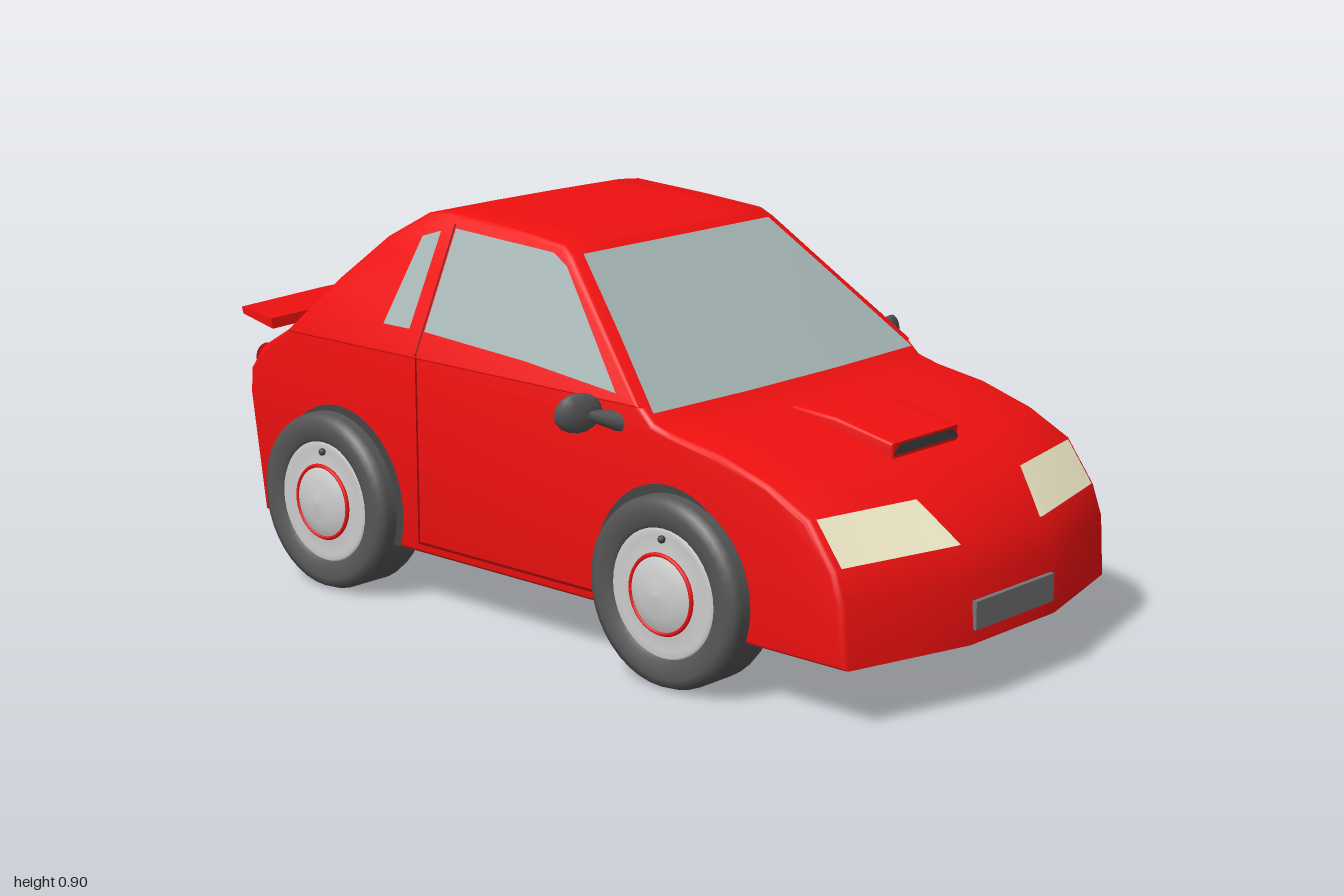
import * as THREE from 'three';
import { toCreasedNormals } from 'three/addons/utils/BufferGeometryUtils.js';

const mat = (color, side = THREE.DoubleSide) => {
  const m = new THREE.MeshStandardMaterial({ side });
  m.color.set(color);
  return m;
};
const red = mat(0xf01010), seam = mat(0x8c0808), glass = mat(0xa6b5b5), lamp = mat(0xf5f0cc);
const rubber = mat(0x565656), dark = mat(0x444444), metal = mat(0xbdbdbd), plate = mat(0x747474);
const amber = mat(0xf0c010), tail = mat(0xa80c0c);

const HALF = 0.46;

// Nose and tail sweep back towards the corners
function bow(x, z) {
  const f = Math.max(0, (Math.abs(x) - 0.149) / (HALF - 0.149));
  return z - (z > 0 ? 0.085 : 0.04) * f * z * Math.abs(z);
}

// Apply the sweep, and lean the cabin sides inwards
function warp(geo, lean) {
  const p = geo.attributes.position;
  for (let i = 0; i < p.count; i++) {
    const x = p.getX(i), y = p.getY(i);
    const scale = lean ? 1 - (0.13 / HALF) * (y - 0.6) / 0.28 : 1;
    p.setXYZ(i, x * scale, y, bow(x, p.getZ(i)));
  }
  geo.computeVertexNormals();
  return geo;
}

function shapeOf(pts) {
  return new THREE.Shape(pts.map(([z, y]) => new THREE.Vector2(z, y)));
}

export function createModel() {
  const car = new THREE.Group();
  car.name = 'car';

  function add(name, geo, material, parent = car) {
    const mesh = new THREE.Mesh(geo, material);
    mesh.name = name;
    parent.add(mesh);
    return mesh;
  }

  // Side profile (z, y) extruded across the width
  function across(name, pts, width, material, { lean = false, bevel = 0.012 } = {}) {
    const geo = new THREE.ExtrudeGeometry(shapeOf(pts), {
      depth: width - 2 * bevel, steps: 6, bevelEnabled: bevel > 0,
      bevelSize: bevel, bevelThickness: bevel, bevelOffset: -bevel, bevelSegments: 3,
    });
    geo.translate(0, 0, bevel - width / 2).rotateY(-Math.PI / 2);
    return add(name, toCreasedNormals(warp(geo, lean), 0.6), material);
  }

  // Four-cornered skin laid on the body, following its sweep
  function patch(name, [a, b, c, d], material, lean = false) {
    const geo = new THREE.PlaneGeometry(1, 1, 24, 2);
    const p = geo.attributes.position;
    const [A, B, C, D] = [a, b, c, d].map((q) => new THREE.Vector3(...q));
    for (let i = 0; i < p.count; i++) {
      const u = p.getX(i) + 0.5, v = p.getY(i) + 0.5;
      const low = A.clone().lerp(B, u), high = D.clone().lerp(C, u);
      p.setXYZ(i, ...low.lerp(high, v).toArray());
    }
    return add(name, warp(geo, lean), material);
  }

  // Flat (z, y) outline laid on both sides
  function sidePanels(name, pts, material, lean = false, x = HALF + 0.004) {
    for (const s of [-1, 1]) {
      const geo = new THREE.ShapeGeometry(shapeOf(pts)).rotateY(-s * -Math.PI / 2);
      if (s > 0) geo.scale(1, 1, -1);
      geo.translate(s * x, 0, 0);
      add((s > 0 ? 'left' : 'right') + name, warp(geo, lean), material);
    }
  }

  // Body shell
  across('lowerBody', [
    [0.995, 0.135], [0.985, 0.27], [0.955, 0.338], [0.872, 0.433], [0.75, 0.485], [0.6, 0.525],
    [0.46, 0.545], [0.4, 0.56], [0.352, 0.6], [-0.79, 0.6], [-0.9, 0.54], [-0.95, 0.48],
    [-0.955, 0.42], [-0.91, 0.135],
  ], 2 * HALF, red);
  across('cabin', [
    [0.366, 0.588], [0.04, 0.858], [0.01, 0.876], [-0.15, 0.89], [-0.37, 0.903], [-0.44, 0.893],
    [-0.55, 0.83], [-0.67, 0.725], [-0.803, 0.588],
  ], 2 * HALF, red, { lean: true });
  patch('floor', [[-0.445, 0.132, 0.98], [0.445, 0.132, 0.98], [0.445, 0.132, -0.9], [-0.445, 0.132, -0.9]], dark);

  // Glass
  patch('windshield', [[-0.432, 0.578, 0.386], [0.432, 0.578, 0.386], [0.42, 0.858, 0.048], [-0.42, 0.858, 0.048]], glass, true);
  patch('rearWindow', [[0.435, 0.645, -0.757], [-0.435, 0.645, -0.757], [-0.405, 0.818, -0.574], [0.405, 0.818, -0.574]], glass, true);
  sidePanels('DoorWindow', [[0.29, 0.61], [0.04, 0.835], [-0.01, 0.858], [-0.33, 0.872], [-0.33, 0.65], [0, 0.634]], glass, true);
  sidePanels('QuarterWindow', [[-0.375, 0.862], [-0.43, 0.845], [-0.47, 0.65], [-0.38, 0.65]], glass, true);

  // Door gaps
  sidePanels('DoorGap', [[-0.334, 0.16], [-0.34, 0.16], [-0.34, 0.6], [-0.334, 0.6]], seam, false, HALF + 0.002);
  sidePanels('DoorFrameGap', [[-0.334, 0.6], [-0.34, 0.6], [-0.34, 0.88], [-0.334, 0.88]], seam, true, HALF + 0.002);
  sidePanels('DoorSill', [[0.22, 0.157], [-0.34, 0.157], [-0.34, 0.163], [0.22, 0.163]], seam, false, HALF + 0.002);

  // Hood scoop
  across('hoodScoop', [[0.755, 0.46], [0.755, 0.516], [0.6, 0.546], [0.48, 0.553], [0.45, 0.52]], 0.23, red, { bevel: 0.006 });
  patch('scoopOpening', [[-0.115, 0.49, 0.757], [0.115, 0.49, 0.757], [0.09, 0.512, 0.757], [-0.09, 0.512, 0.757]], dark);

  // Headlights
  for (const s of [-1, 1]) {
    patch('headlight', [[s * 0.14, 0.342, 0.957], [s * 0.44, 0.342, 0.957], [s * 0.44, 0.432, 0.879], [s * 0.182, 0.432, 0.879]], lamp);
  }

  // Number plates
  add('frontPlate', new THREE.BoxGeometry(0.276, 0.062, 0.02), plate).position.set(0, 0.196, 0.99);
  const rearPlate = add('rearPlate', new THREE.BoxGeometry(0.276, 0.062, 0.02), plate);
  rearPlate.position.set(0, 0.275, -0.932);
  rearPlate.rotation.x = 0.14;

  // Tail lights: red, amber, red on each side
  for (const s of [-1, 1]) {
    [0.21, 0.3, 0.39].forEach((x, i) => {
      const geo = new THREE.CylinderGeometry(0.03, 0.036, 0.035, 16).rotateX(-Math.PI / 2);
      add('tailLight', geo, i === 1 ? amber : tail).position.set(s * x, 0.495, bow(x, -0.95));
    });
  }

  // Spoiler on two posts
  across('spoiler', [[-0.88, 0.58], [-0.995, 0.602], [-1.0, 0.618], [-0.885, 0.604]], 0.88, red, { bevel: 0 });
  for (const s of [-1, 1]) {
    add('spoilerPost', new THREE.BoxGeometry(0.014, 0.07, 0.03), seam).position.set(s * 0.14, 0.56, -0.895);
  }

  // Door mirrors
  for (const s of [-1, 1]) {
    const mirror = new THREE.Group();
    mirror.name = s > 0 ? 'leftMirror' : 'rightMirror';
    const head = add('mirrorHead', new THREE.SphereGeometry(1, 10, 8), rubber, mirror);
    head.scale.set(0.057, 0.044, 0.018);
    head.position.set(s * 0.53, 0.573, 0.24);
    head.rotation.y = s * 0.35;
    const arm = add('mirrorArm', new THREE.CylinderGeometry(0.012, 0.024, 0.08, 8), rubber, mirror);
    arm.position.set(s * 0.48, 0.558, 0.272);
    arm.rotation.set(0, s * 0.5, -s * 1.3);
    car.add(mirror);
  }

  // Wheels, built around y then turned to face sideways
  const lathe = (pts) => new THREE.LatheGeometry(pts.map(([r, h]) => new THREE.Vector2(r, h)), 40);
  function wheel(name, s, z) {
    const g = new THREE.Group();
    g.name = name;
    add('tyre', lathe([[0, -0.073], [0.185, -0.073], [0.203, -0.066], [0.21, -0.048], [0.21, 0.048],
      [0.203, 0.066], [0.185, 0.073], [0.15, 0.07], [0.138, 0.055]]), rubber, g);
    add('rim', lathe([[0.145, 0.058], [0.138, 0.066], [0.125, 0.06], [0.09, 0.064]]), metal, g);
    add('hub', lathe([[0.092, 0.062], [0.08, 0.07], [0.05, 0.08], [0, 0.085]]), metal, g);
    add('trimRing', new THREE.TorusGeometry(0.086, 0.005, 6, 40).rotateX(Math.PI / 2), red, g).position.y = 0.067;
    add('valve', new THREE.SphereGeometry(0.009, 8, 6), dark, g).position.set(0.12, 0.064, 0);
    g.rotation.z = -s * Math.PI / 2;
    g.position.set(s * 0.437, 0.212, z);
    car.add(g);
  }

  for (const [end, z] of [['front', 0.452], ['rear', -0.615]]) {
    // Dark wheel arch, cut off at the sill
    const arch = [];
    for (let i = 0; i <= 32; i++) {
      const a = -0.33 + (Math.PI + 0.66) * i / 32;
      arch.push([z + 0.226 * Math.cos(a), 0.212 + 0.226 * Math.sin(a)]);
    }
    sidePanels(end + 'WheelArch', arch, dark, false, HALF + 0.003);
    wheel(end + 'LeftWheel', 1, z);
    wheel(end + 'RightWheel', -1, z);
  }

  return car;
}
